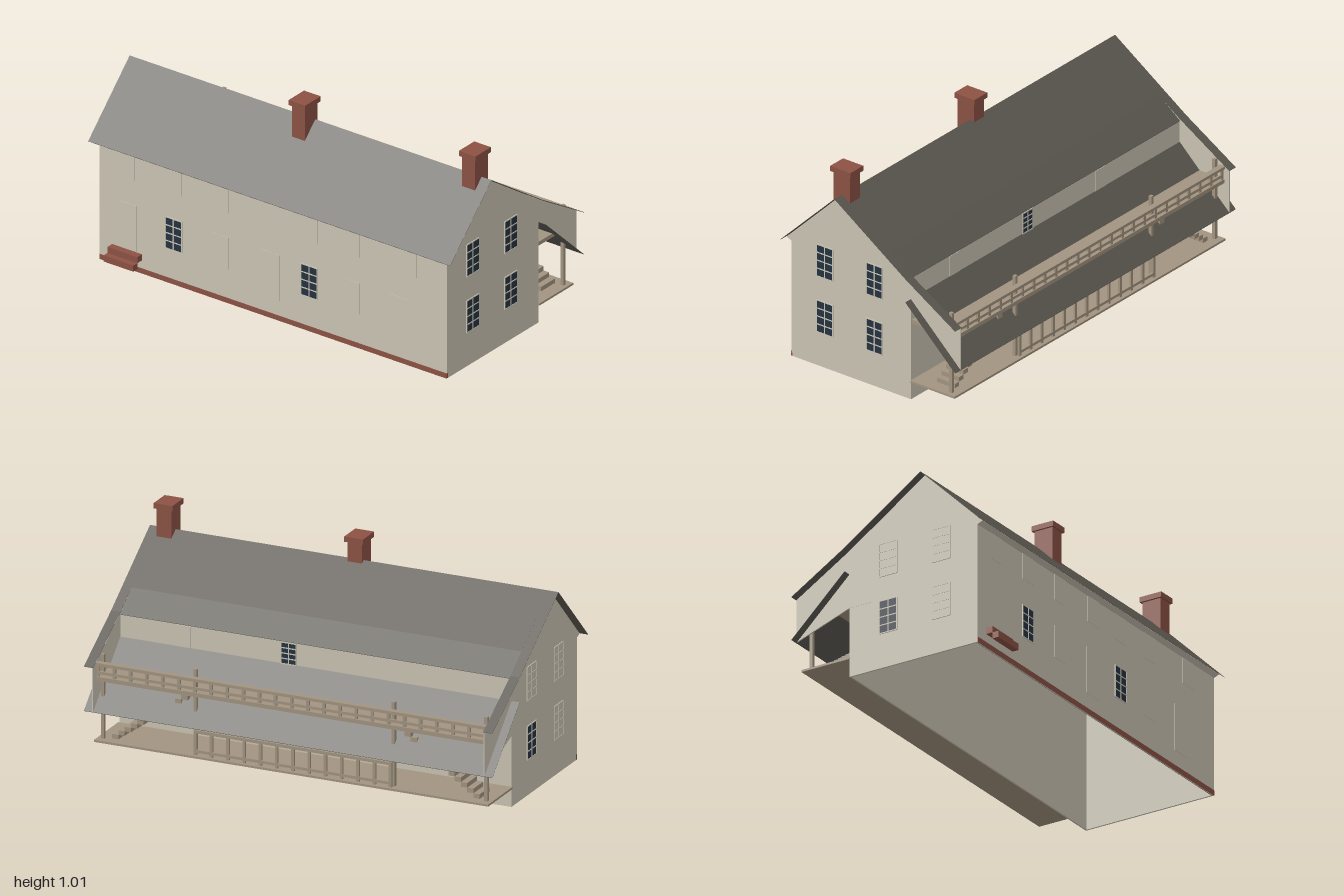
import * as THREE from 'three';

export function createModel() {
  const house = new THREE.Group();
  house.name = 'house';

  const material = (name, color) => {
    const m = new THREE.MeshStandardMaterial({ color });
    m.name = name;
    return m;
  };
  const wall = material('stone wall', 0xcbc4b4);
  const roof = material('roof shingle', 0x5c5851);
  const brick = material('brick', 0x8c5244);
  const wood = material('porch wood', 0xa29480);
  const glass = material('window glass', 0x24323f);

  function add(name, geometry, mat, parent = house) {
    const mesh = new THREE.Mesh(geometry, mat);
    mesh.name = name;
    parent.add(mesh);
    return mesh;
  }
  // Box given by its lower and upper limits on each axis
  function box(name, mat, [x0, x1], [y0, y1], [z0, z1], parent = house) {
    const g = new THREE.BoxGeometry(x1 - x0, y1 - y0, z1 - z0);
    g.translate((x0 + x1) / 2, (y0 + y1) / 2, (z0 + z1) / 2);
    return add(name, g, mat, parent);
  }
  // Prism with a [z, y] outline, running along x
  function prism(name, mat, points, x0, x1) {
    const shape = new THREE.Shape(points.map(([z, y]) => new THREE.Vector2(z, y)));
    const g = new THREE.ExtrudeGeometry(shape, { depth: x1 - x0, bevelEnabled: false });
    g.rotateY(-Math.PI / 2).translate(x1, 0, 0);
    return add(name, g, mat);
  }
  // Thin roof sheet following a [z, y] line
  function sheet(name, line, x0, x1) {
    const under = line.map(([z, y]) => [z, y - 0.002]).reverse();
    return prism(name, roof, [...line, ...under], x0, x1);
  }

  // Hollow shell, open underneath: two gables, front and back walls
  const gable = [[0.445, 0], [0.445, 0.611], [0.17, 0.883], [-0.115, 0.69], [-0.23, 0.602], [-0.23, 0]];
  prism('leftGable', wall, gable, 0.952, 0.96);
  prism('rightGable', wall, gable, -0.96, -0.952);
  box('frontWall', wall, [-0.952, 0.952], [0, 0.608], [0.437, 0.445]);
  box('backWall', wall, [-0.952, 0.952], [0, 0.604], [-0.23, -0.222]);
  prism('frontEave', wall, [[0.473, 0.585], [0.445, 0.574], [0.445, 0.611]], -0.96, 0.96);
  box('foundation', brick, [-0.96, 0.96], [0, 0.025], [0.436, 0.447]);

  // Roof: both main slopes, the steeper strip over the recess, side strips, porch roof
  const front = [0.475, 0.586], ridge = [0.17, 0.886], bend = [-0.23, 0.616], tail = [-0.51, 0.446];
  sheet('mainRoof', [front, ridge, [-0.115, 0.694]], -0.955, 0.955);
  sheet('recessRoof', [[-0.115, 0.694], [-0.232, 0.606]], -0.955, 0.955);
  for (const s of [-1, 1]) {
    sheet('sideRoof', [front, ridge, bend, tail], s < 0 ? -1 : 0.955, s < 0 ? -0.955 : 1);
  }
  sheet('porchRoof', [[-0.23, 0.5], [-0.51, 0.237]], -1, 1);

  // Side panels enclosing the balcony; one hangs lower than the other
  const panel = (low, x0, x1) => prism('sidePanel', wall,
    [[-0.115, 0.69], [-0.23, 0.613], [-0.509, 0.444], [-0.509, 0.238], [-0.23, low], [-0.115, low]], x0, x1);
  panel(0.5, 0.955, 0.961);
  panel(0.335, -0.961, -0.955);

  // Windows and doors, built facing +z around their centre and then turned to the wall
  function opening(name, w, h, pos, turn, pane, bars) {
    const g = new THREE.Group();
    g.name = name;
    box('pane', pane, [-w / 2, w / 2], [-h / 2, h / 2], [-0.001, 0.002], g);
    if (bars) {
      const t = 0.0025, z = [0, 0.004];
      for (const x of [-w / 2, 0, w / 2]) box('upright', wall, [x - t, x + t], [-h / 2, h / 2], z, g);
      for (let i = 0; i <= 4; i++) {
        const y = -h / 2 + (h * i) / 4;
        box('crossbar', wall, [-w / 2, w / 2], [y - t, y + t], z, g);
      }
    }
    g.position.set(...pos);
    g.rotation.y = turn;
    house.add(g);
  }
  for (const x of [-0.81, -0.55, -0.29, -0.02, 0.2, 0.435, 0.75]) {
    opening('shutteredWindow', 0.09, 0.145, [x, 0.523, 0.445], 0, wall, false);
  }
  for (const x of [-0.55, 0.2]) opening('window', 0.09, 0.155, [x, 0.247, 0.445], 0, glass, true);
  for (const x of [-0.29, 0.435]) opening('shutteredWindow', 0.09, 0.155, [x, 0.247, 0.445], 0, wall, false);
  for (const x of [-0.81, -0.02, 0.695]) opening('door', 0.108, 0.228, [x, 0.212, 0.445], 0, wall, false);
  for (const s of [-1, 1]) for (const z of [0.255, -0.025]) for (const y of [0.247, 0.525]) {
    const pane = s > 0 || (z < 0 && y < 0.3) ? glass : wall;
    opening('window', 0.09, 0.158, [s * 0.96, y, z], s * Math.PI / 2, pane, true);
  }
  // Openings behind the balcony
  for (const x of [-0.39, 0.13, 0.65]) {
    opening('window', 0.075, 0.1, [x, 0.55, -0.23], Math.PI, x === 0.13 ? glass : wall, x === 0.13);
  }

  // Chimneys with caps
  function chimney(x, z, top) {
    box('chimneyShaft', brick, [x - 0.036, x + 0.036], [0.76, top - 0.025], [z - 0.047, z + 0.047]);
    box('chimneyCap', brick, [x - 0.046, x + 0.046], [top - 0.025, top], [z - 0.057, z + 0.057]);
  }
  chimney(-0.01, 0.2, 0.993);
  chimney(0.91, 0.172, 1.014);

  // Front steps
  box('upperStep', brick, [-0.89, -0.725], [0.065, 0.095], [0.44, 0.48]);
  box('lowerStep', brick, [-0.89, -0.725], [0.035, 0.065], [0.478, 0.51]);

  // Porch floor and balcony floor
  box('porchFloor', wood, [-0.965, 0.965], [0.085, 0.095], [-0.48, -0.23]);
  box('balconyFloor', wood, [-0.954, 0.954], [0.376, 0.395], [-0.482, -0.23]);

  // Posts carrying the balcony
  for (const x of [-0.938, -0.485, 0.485, 0.938]) {
    box('porchPost', wood, [x - 0.008, x + 0.008], [0.095, 0.492], [-0.449, -0.433]);
  }

  // Railings with rails and balusters
  function railing(name, half, y0, y1, z, count, depth) {
    const g = new THREE.Group();
    g.name = name;
    box('topRail', wood, [-half, half], [y1 - 0.014, y1], [z - depth / 2, z + depth / 2], g);
    box('bottomRail', wood, [-half, half], [y0 + 0.012, y0 + 0.025], [z - 0.005, z + 0.005], g);
    for (let i = 0; i <= count; i++) {
      const x = (half - 0.007) * (2 * i / count - 1);
      box('baluster', wood, [x - 0.007, x + 0.007], [y0, y1 - 0.01], [z - 0.005, z + 0.005], g);
    }
    house.add(g);
  }
  railing('balconyRailing', 0.954, 0.395, 0.462, -0.473, 24, 0.028);
  railing('porchRailing', 0.485, 0.095, 0.212, -0.46, 12, 0.01);

  // Stairs at both ends, climbing inward to the balcony
  const steps = 13, rise = (0.376 - 0.095) / steps, run = 0.4 / steps;
  for (const s of [-1, 1]) {
    const stair = new THREE.Group();
    stair.name = 'stair';
    for (let i = 0; i < steps; i++) {
      const x = s * (0.9 - run * (i + 0.5)), y = 0.095 + rise * i;
      box('step', wood, [x - run / 2, x + run / 2], [y, y + rise], [-0.43, -0.33], stair);
    }
    house.add(stair);
  }

  return house;
}
